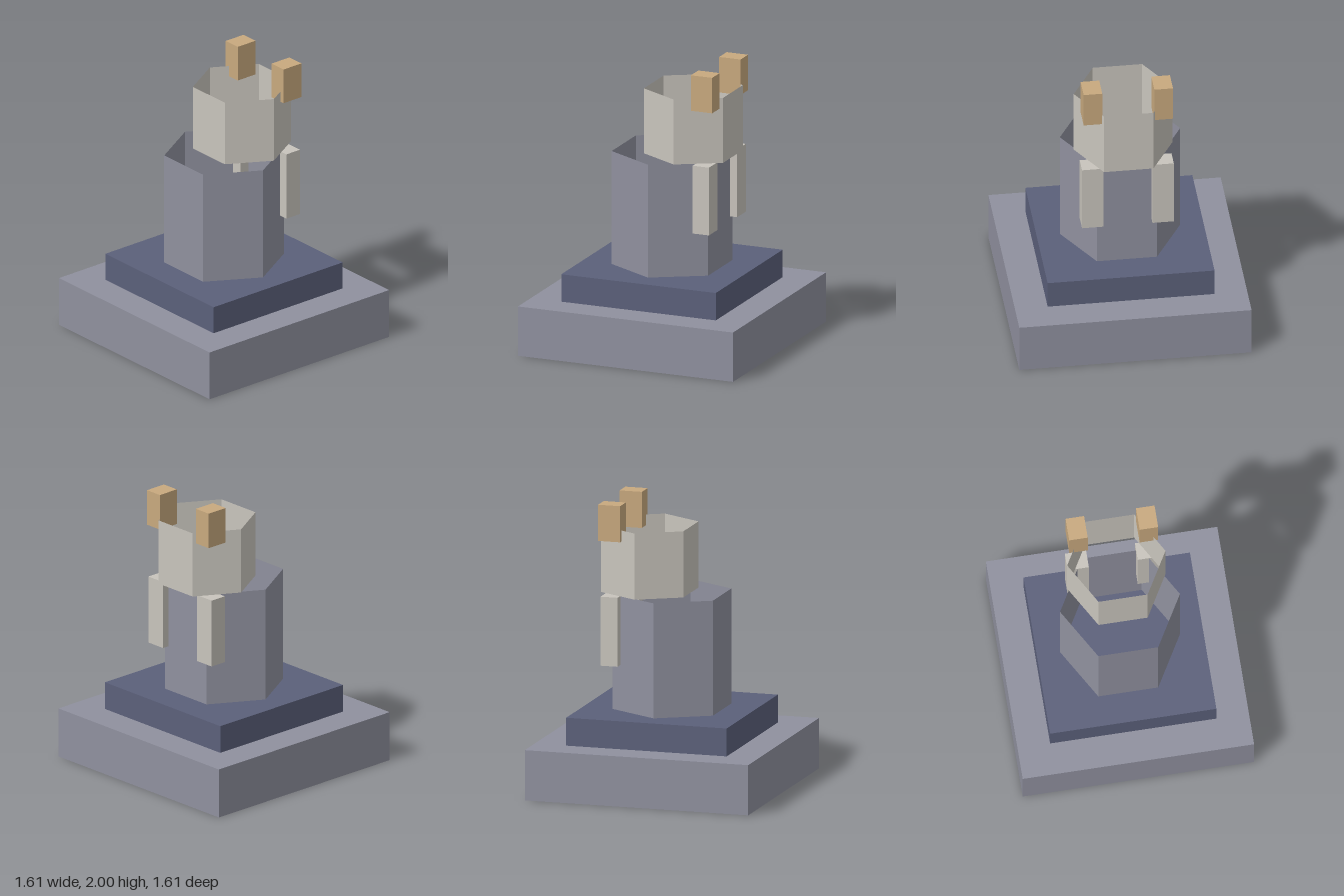
import * as THREE from 'three';

const material = (name, color, side = THREE.FrontSide) => {
  const m = new THREE.MeshStandardMaterial({ color, side, flatShading: true });
  m.name = name;
  return m;
};

export function createModel() {
  const group = new THREE.Group();
  group.name = 'pedestalFigure';

  const stone = material('stoneGrey', 0x8f909e);
  const stoneShell = material('stoneGreyShell', 0x8f909e, THREE.DoubleSide);
  const slate = material('slateBlue', 0x5b607a);
  const pale = material('paleGrey', 0xc8c4bc);
  const paleShell = material('paleGreyShell', 0xc8c4bc, THREE.DoubleSide);
  const tan = material('tan', 0xc8a97e);

  const add = (name, geometry, mat, x, y, z) => {
    const mesh = new THREE.Mesh(geometry, mat);
    mesh.name = name;
    mesh.position.set(x, y, z);
    group.add(mesh);
  };

  // Box standing on y0, reaching up to y1
  const block = (name, mat, w, d, y0, y1, x = 0, z = 0) =>
    add(name, new THREE.BoxGeometry(w, y1 - y0, d), mat, x, (y0 + y1) / 2, z);

  // Open six-sided tube with corners on the x axis
  const hexTube = (name, mat, r, y0, y1, z) =>
    add(name, new THREE.CylinderGeometry(r, r, y1 - y0, 6, 1, true, Math.PI / 6), mat, 0, (y0 + y1) / 2, z);

  // Stepped plinth
  block('base', stone, 1.61, 1.61, 0, 0.353);
  block('plinth', slate, 1.157, 1.157, 0.353, 0.549);

  // Hollow body and head
  hexTube('body', stoneShell, 0.417, 0.549, 1.357, 0);
  hexTube('head', paleShell, 0.342, 1.357, 1.822, -0.16);

  // Mirrored arms and horns
  for (const [side, s] of [['left', 1], ['right', -1]]) {
    block(side + 'Arm', pale, 0.148, 0.123, 0.872, 1.357, s * 0.244, -0.353);
    block(side + 'Horn', tan, 0.129, 0.16, 1.746, 2, s * 0.245, -0.355);
  }

  return group;
}
